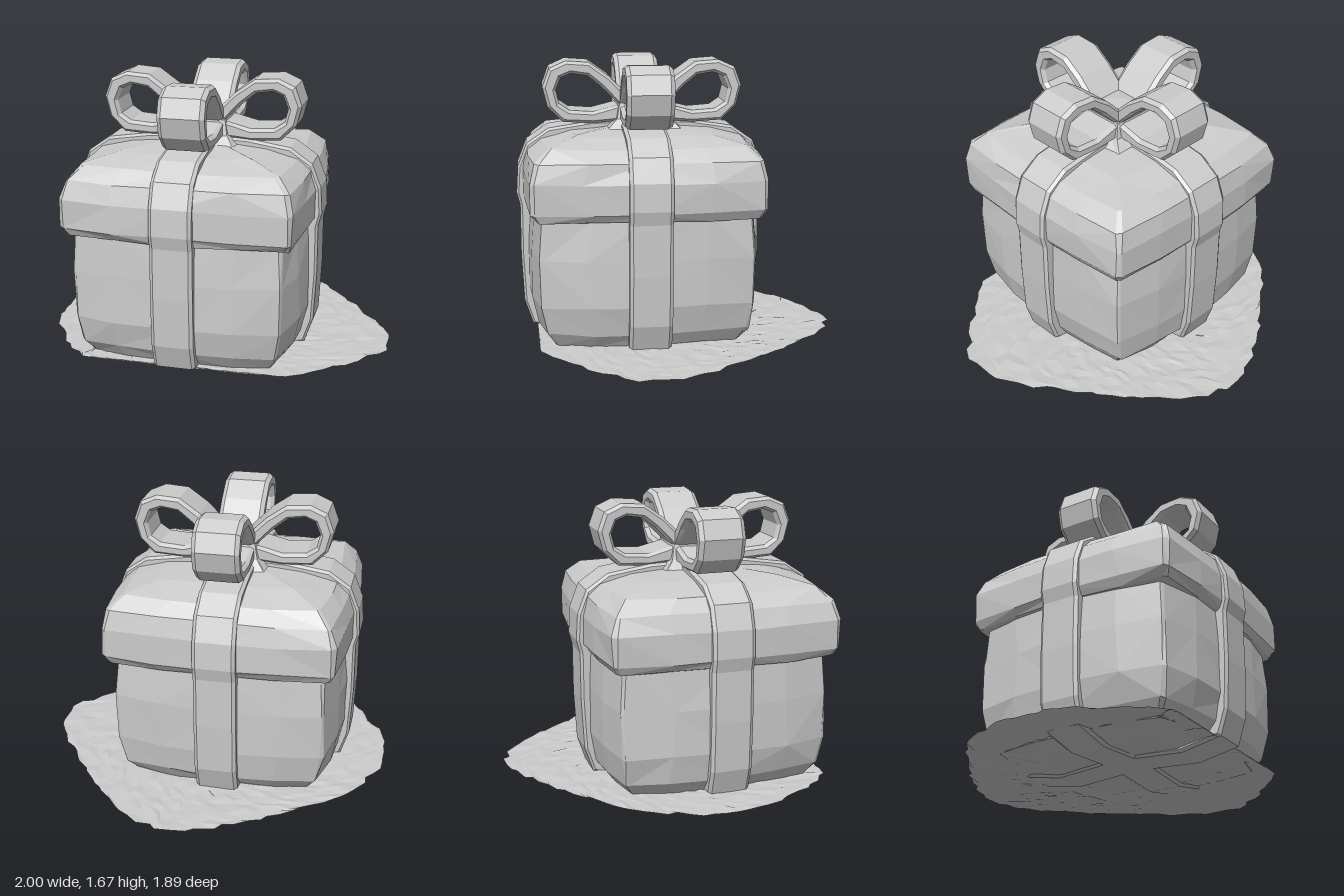
import * as THREE from 'three';

const grey = new THREE.MeshStandardMaterial({ color: 0xcccccc, flatShading: true, side: THREE.DoubleSide });

// Repeatable noise in [-1, 1]
const noise = (a, b) => {
  const s = Math.sin(a * 127.1 + b * 311.7) * 43758.5453;
  return 2 * (s - Math.floor(s)) - 1;
};

function mesh(geometry, name) {
  geometry.computeVertexNormals();
  const m = new THREE.Mesh(geometry, grey);
  m.name = name;
  return m;
}

// Loft of square rings with bulging sides and cut corners; rings = [half width, y], bottom to top
function softBox(rings, { corner, bulge, jitter, seed }) {
  const steps = [-corner, -0.5, 0, 0.5, corner];
  const pos = [], idx = [];
  const n = steps.length * 4;
  rings.forEach(([h, y], r) => {
    for (let side = 0; side < 4; side++) {
      const c = Math.round(Math.cos(side * Math.PI / 2)), s = Math.round(Math.sin(side * Math.PI / 2));
      steps.forEach((t, k) => {
        const i = side * steps.length + k;
        const out = h * (1 - bulge * t * t) + jitter * noise(i + seed, r);
        const along = h * t + (Math.abs(t) < corner ? jitter * 4 * noise(i, r + seed) : 0);
        const up = r > 0 && r < rings.length - 1 ? jitter * noise(i + 7, r + seed) : 0;
        pos.push(out * c - along * s, Math.max(0, y + up), along * c + out * s);
      });
    }
  });
  for (let r = 0; r < rings.length - 1; r++)
    for (let i = 0; i < n; i++) {
      const a = r * n + i, b = r * n + (i + 1) % n;
      if (noise(i, r + seed) > 0) idx.push(a, a + n, b, b, a + n, b + n);
      else idx.push(a, b + n, b, a, a + n, b + n);
    }
  // Caps
  const top = (rings.length - 1) * n, mid = pos.length / 3;
  pos.push(0, rings[0][1], 0, 0, rings[rings.length - 1][1] + 0.01, 0);
  for (let i = 0; i < n; i++) {
    const j = (i + 1) % n;
    idx.push(mid, i, j, mid + 1, top + j, top + i);
  }
  const g = new THREE.BufferGeometry();
  g.setAttribute('position', new THREE.Float32BufferAttribute(pos, 3));
  g.setIndex(idx);
  return g;
}

const toVectors = (pts) => pts.map(([x, y]) => new THREE.Vector2(x, y));

// Flat outline given a width, centred on z = 0
function slab(shape, width, bevel) {
  const g = new THREE.ExtrudeGeometry(shape, {
    depth: width - 2 * bevel, bevelThickness: bevel, bevelSize: bevel * 0.7, bevelOffset: -bevel * 0.7, bevelSegments: 1,
  });
  return g.translate(0, 0, -width / 2 + bevel);
}

// Band wrapping over the lid and under the box
function ribbon() {
  const half = [[0.42, 0], [0.67, 0.05], [0.72, 0.2], [0.735, 0.5], [0.735, 0.8], [0.755, 0.88],
    [0.745, 1.04], [0.69, 1.18], [0.56, 1.27], [0.3, 1.31]];
  const other = half.map(([x, y]) => [-x, y]).reverse();
  return slab(new THREE.Shape(toVectors([[0, 0.03], ...half, [0, 1.32], ...other])), 0.25, 0.02);
}

// One bow loop, reaching out along +x
function bowLoop() {
  const shape = new THREE.Shape(toVectors([[0.06, 1.32], [0.3, 1.3], [0.48, 1.31], [0.57, 1.4],
    [0.6, 1.52], [0.56, 1.63], [0.46, 1.675], [0.32, 1.665], [0.2, 1.58], [0.06, 1.44]]));
  shape.holes.push(new THREE.Path(toVectors([[0.14, 1.41], [0.25, 1.52], [0.33, 1.585], [0.43, 1.6],
    [0.49, 1.575], [0.52, 1.5], [0.5, 1.42], [0.44, 1.38], [0.3, 1.37]])));
  return slab(shape, 0.275, 0.025);
}

// Thin, bumpy, ragged-edged patch of ground
function groundPatch() {
  const rings = 20, spokes = 90, pos = [], idx = [];
  for (let r = 0; r <= rings; r++)
    for (let s = 0; s < spokes; s++) {
      const a = (s + 0.35 * noise(s, r + 40)) / spokes * Math.PI * 2;
      const c = Math.cos(a), d = Math.sin(a);
      const power = 3.4 + 0.7 * (c + d);
      const reach = Math.pow(Math.abs(c) ** power + Math.abs(d) ** power, -1 / power);
      const k = reach * (r + (r < rings ? 0.3 * noise(s + 9, r) : 0.4 * noise(s, 3) - 0.2)) / rings;
      let x = 0.035 + 0.965 * k * c, z = -0.01 + 0.925 * k * d;
      // Edge tucked under the front left side of the box
      const over = (x + 0.06) * -0.595 + (z - 0.01) * 0.804 - 0.65;
      if (over > 0) { x += 0.595 * over; z -= 0.804 * over; }
      pos.push(x, 0.05 + 0.005 * noise(s, r + 5), z);
    }
  for (let r = 0; r < rings; r++)
    for (let s = 0; s < spokes; s++) {
      const a = r * spokes + s, b = r * spokes + (s + 1) % spokes;
      idx.push(a, b, a + spokes, b, b + spokes, a + spokes);
    }
  const g = new THREE.BufferGeometry();
  g.setAttribute('position', new THREE.Float32BufferAttribute(pos, 3));
  g.setIndex(idx);
  return g;
}

export function createModel() {
  const model = new THREE.Group();
  model.name = 'giftBox';
  model.add(mesh(groundPatch(), 'groundPatch'));

  const gift = new THREE.Group();
  gift.name = 'gift';
  gift.position.set(-0.055, 0, 0.02);
  gift.rotation.y = THREE.MathUtils.degToRad(-37.2);
  model.add(gift);

  // Box with a sagging underside
  const box = softBox([[0.12, 0.035], [0.4, 0.015], [0.6, 0.05], [0.66, 0.13], [0.695, 0.3], [0.7, 0.58],
    [0.68, 0.83]], { corner: 0.87, bulge: 0.14, jitter: 0.008, seed: 3 });
  gift.add(mesh(box, 'box'));

  const lid = softBox([[0.64, 0.8], [0.69, 0.81], [0.72, 0.86], [0.72, 1.03], [0.69, 1.14],
    [0.61, 1.215], [0.42, 1.262], [0.15, 1.285]], { corner: 0.91, bulge: 0.07, jitter: 0.008, seed: 11 });
  gift.add(mesh(lid, 'lid'));

  for (let i = 0; i < 2; i++) {
    const band = mesh(ribbon(), 'ribbon');
    band.rotation.y = i * Math.PI / 2;
    gift.add(band);
  }

  // Bow: four loops around a knot
  const bow = new THREE.Group();
  bow.name = 'bow';
  bow.position.set(0.02, 0, -0.01);
  for (let i = 0; i < 4; i++) {
    const loop = mesh(bowLoop(), 'bowLoop');
    loop.rotation.y = i * Math.PI / 2;
    bow.add(loop);
  }
  const knot = softBox([[0.24, 1.26], [0.17, 1.33], [0.15, 1.42], [0.08, 1.46]],
    { corner: 0.93, bulge: 0.04, jitter: 0.005, seed: 23 });
  bow.add(mesh(knot, 'knot'));
  gift.add(bow);
  return model;
}
